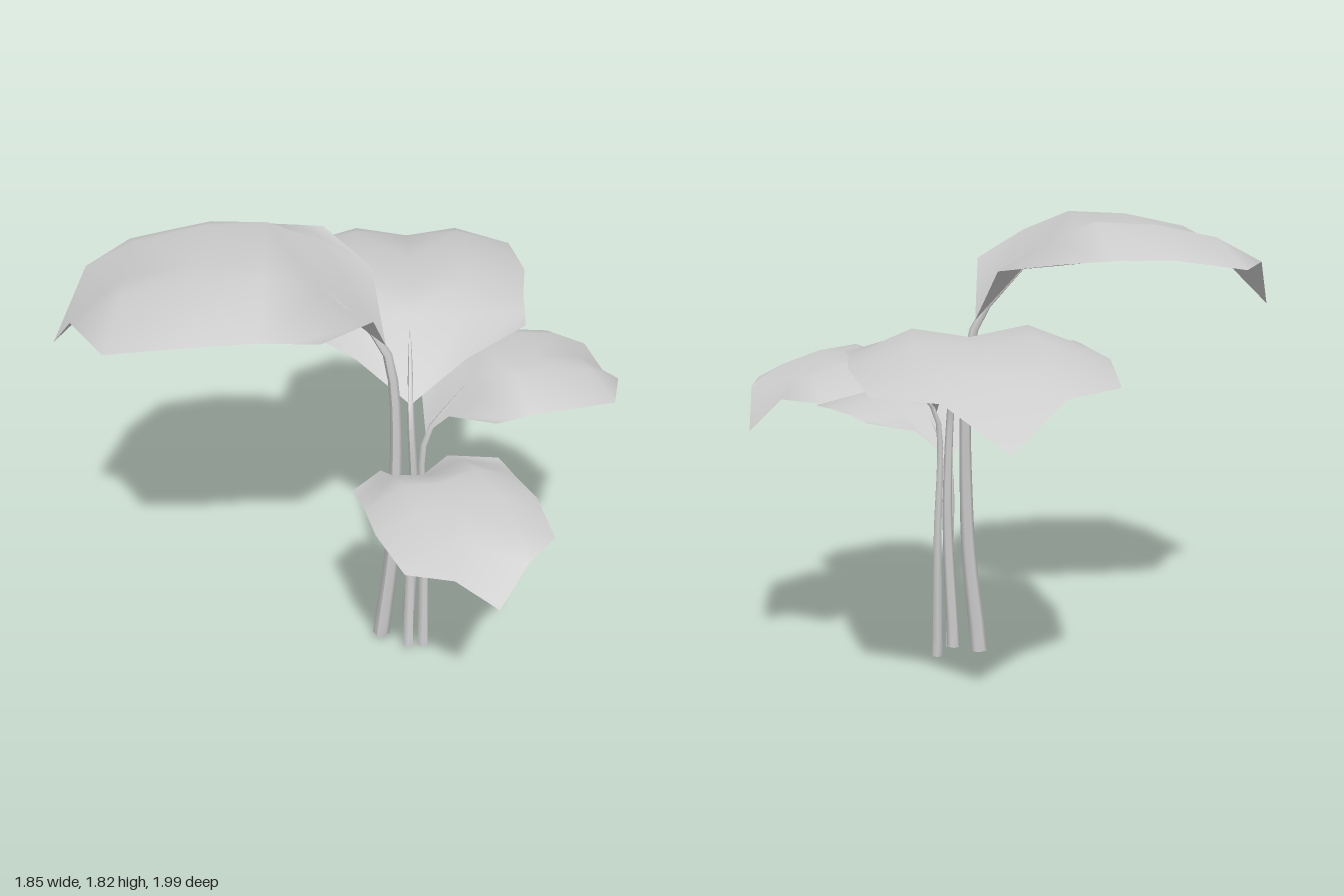
import * as THREE from 'three';

const material = new THREE.MeshStandardMaterial({ color: 0xcccccc, side: THREE.DoubleSide });

// Leaf rows from base to tip: [along, across, height] for midrib, fold and edge
const ROWS = [
  [[0, 0, 0], [0.05, 0.206, 0.22], [0.23, 0.44, 0.27]],
  [[0.28, 0, 0.3], [0.24, 0.21, 0.33], [0.33, 0.445, 0.275]],
  [[0.43, 0, 0.35], [0.43, 0.215, 0.4], [0.44, 0.447, 0.28]],
  [[0.67, 0, 0.35], [0.67, 0.22, 0.385], [0.66, 0.47, 0.28]],
  [[0.95, 0, 0.29], [0.92, 0.21, 0.33], [0.82, 0.45, 0.255]],
  [[1.22, 0, 0.03], [1.11, 0.21, 0.23], [0.97, 0.43, 0.23]],
];

// Each plant stalk: foot, bend, leaf base, leaf tip (x, z), rise of the leaf and foot radius
const STALKS = [
  { foot: [0.11, 0.03, 0.12], bend: [0.155, 0.6, 0.1], base: [0.12, 1.42, 0.11], tip: [-0.9, 0.77], rise: 1, radius: 0.035 },
  { foot: [0.19, 0.065, 0.035], bend: [0.22, 0.65, 0.05], base: [0.2, 1.16, 0.06], tip: [-0.45, -0.98], rise: 0.78, radius: 0.027 },
  { foot: [0.275, 0.002, 0.06], bend: [0.265, 0.5, 0.05], base: [0.265, 1.05, 0.055], tip: [0.75, -0.59], rise: 0.7, radius: 0.023 },
  { foot: [0.24, 0.03, 0.12], bend: [0.228, 0.45, 0.095], base: [0.24, 0.84, 0.12], tip: [0.89, 0.61], rise: 0.57, radius: 0.024 },
];

// Returns a function placing (along, across, height) in the leaf's own frame
function leafFrame({ base, tip, rise }) {
  const dx = tip[0] - base[0], dz = tip[1] - base[2];
  const k = 1 / 1.22; // template length
  return (u, w, h) => new THREE.Vector3(
    base[0] + (u * dx + w * dz) * k,
    base[1] + h * rise,
    base[2] + (u * dz - w * dx) * k
  );
}

// Mirrored, folded blade lofted through the rows
function makeLeaf(stalk) {
  const place = leafFrame(stalk);
  const points = [], index = [];
  for (const [rib, fold, edge] of ROWS) {
    for (const [[u, w, h], s] of [[edge, -1], [fold, -1], [rib, 1], [fold, 1], [edge, 1]]) {
      points.push(place(u, w * s, h));
    }
  }
  for (let i = 0; i < ROWS.length - 1; i++) {
    for (let j = 0; j < 4; j++) {
      const a = i * 5 + j, b = a + 5;
      // Diagonals mirror about the midrib
      if (j < 2) index.push(a, b, a + 1, b, b + 1, a + 1);
      else index.push(a, b, b + 1, a, b + 1, a + 1);
    }
  }
  const geometry = new THREE.BufferGeometry().setFromPoints(points);
  geometry.setIndex(index);
  geometry.computeVertexNormals();
  const mesh = new THREE.Mesh(geometry, material);
  mesh.name = 'leaf';
  return mesh;
}

// Six-sided stem tapering into a thin stalk under the leaf
function makeStem(stalk) {
  const { foot, bend, base, radius } = stalk;
  const place = leafFrame(stalk);
  const path = new THREE.CatmullRomCurve3([
    new THREE.Vector3(...foot),
    new THREE.Vector3(...bend),
    new THREE.Vector3(base[0], base[1] - 0.02, base[2]),
    place(0.11, 0, 0.12),
    place(0.29, 0, 0.3),
  ]);
  const segments = 16, sides = 6;
  const geometry = new THREE.TubeGeometry(path, segments, radius, sides, false);
  const position = geometry.attributes.position;
  const v = new THREE.Vector3();
  for (let i = 0; i <= segments; i++) {
    const centre = path.getPointAt(i / segments);
    const below = Math.min(1, centre.y / base[1]);
    const above = Math.max(0, centre.y - base[1]) / (0.3 * stalk.rise);
    const scale = 1 - 0.5 * below - 0.42 * Math.min(1, above);
    for (let j = 0; j <= sides; j++) {
      const n = i * (sides + 1) + j;
      v.fromBufferAttribute(position, n).sub(centre).multiplyScalar(scale).add(centre);
      position.setXYZ(n, v.x, v.y, v.z);
    }
  }
  geometry.computeVertexNormals();
  const stem = new THREE.Mesh(geometry, material);
  stem.name = 'stem';

  // Closed foot
  const cap = new THREE.Mesh(new THREE.CircleGeometry(radius * 0.95, sides), material);
  cap.name = 'stemFoot';
  cap.rotation.x = Math.PI / 2;
  cap.position.set(...foot);
  return [stem, cap];
}

export function createModel() {
  const plant = new THREE.Group();
  plant.name = 'plant';
  STALKS.forEach((stalk, i) => {
    const group = new THREE.Group();
    group.name = `stalk${i + 1}`;
    group.add(makeLeaf(stalk), ...makeStem(stalk));
    plant.add(group);
  });
  return plant;
}
